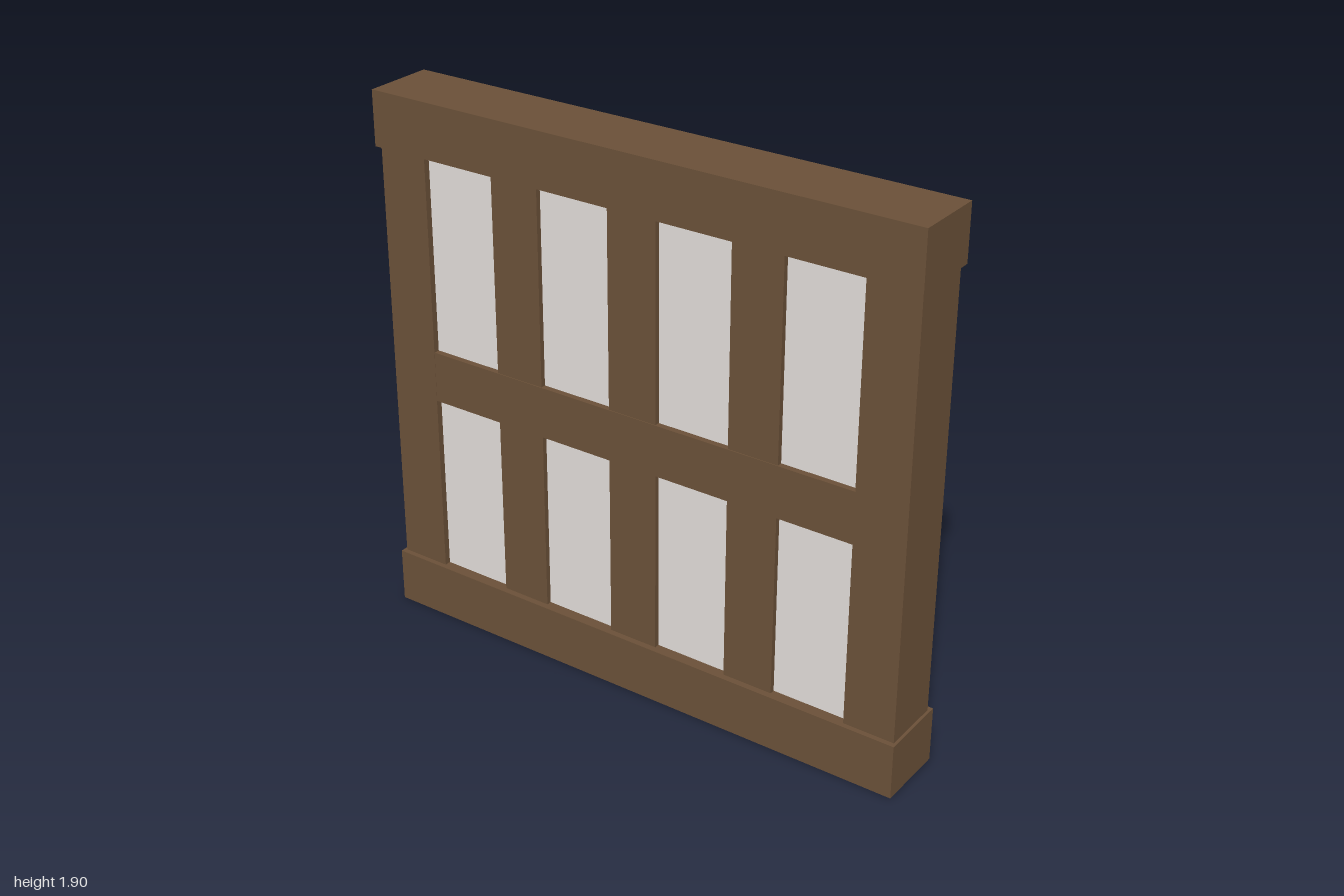
import * as THREE from 'three';

const wood = new THREE.MeshStandardMaterial({ color: 0x6a5038 });
const paper = new THREE.MeshStandardMaterial({ color: 0xe0dbd8 });

const BOTTOM = 0.195, TOP = 1.71, HEIGHT = 1.9;

export function createModel() {
  const group = new THREE.Group();

  // Box centred on x = 0, given its thickness in x and its y and z ranges
  function slab(name, thickness, y0, y1, z0, z1, material = wood) {
    const mesh = new THREE.Mesh(new THREE.BoxGeometry(thickness, y1 - y0, z1 - z0), material);
    mesh.position.set(0, (y0 + y1) / 2, (z0 + z1) / 2);
    mesh.name = name;
    group.add(mesh);
  }

  // Heavy beams along the floor and the top
  slab('bottomBeam', 0.25, 0, BOTTOM, -1, 1);
  slab('topBeam', 0.25, TOP, HEIGHT, -1, 1);

  // End posts
  slab('frontPost', 0.214, BOTTOM, TOP, 0.81, 0.99);
  slab('backPost', 0.214, BOTTOM, TOP, -0.99, -0.81);

  // Middle rail and the three mullions, set back slightly
  slab('middleRail', 0.212, 0.84, 1.02, -0.81, 0.81);
  for (const z of [-0.45, 0, 0.45]) {
    slab('mullion', 0.206, BOTTOM, TOP, z - 0.09, z + 0.09);
  }

  // Pale panes recessed in the openings
  for (const z of [-0.675, -0.225, 0.225, 0.675]) {
    slab('lowerPane', 0.17, BOTTOM, 0.84, z - 0.135, z + 0.135, paper);
    slab('upperPane', 0.17, 1.02, TOP, z - 0.135, z + 0.135, paper);
  }

  return group;
}
